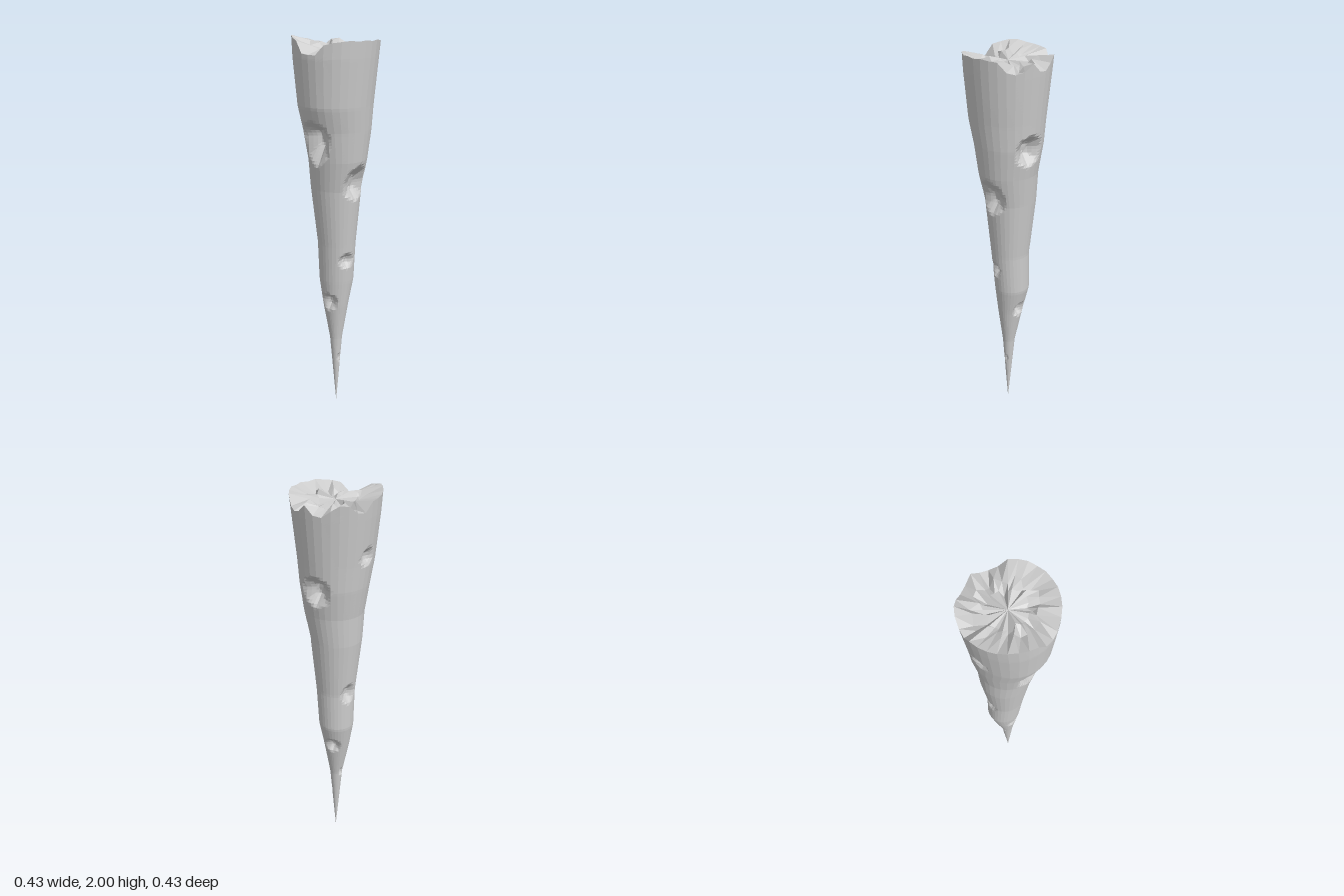
import * as THREE from 'three';

const SIDES = 32, SUB = 2, COLS = SIDES * SUB, ROWS = 130;

// Outline of the spike: [y, minX, maxX, minZ, maxZ]
const OUTLINE = [
  [0, 0, 0, 0, 0],
  [0.4, -0.037, 0.03, -0.035, 0.03],
  [0.6, -0.08, 0.06, -0.072, 0.055],
  [0.74, -0.105, 0.08, -0.106, 0.07],
  [0.95, -0.107, 0.096, -0.107, 0.085],
  [1.25, -0.14, 0.123, -0.137, 0.118],
  [1.4, -0.146, 0.155, -0.153, 0.14],
  [1.55, -0.168, 0.172, -0.178, 0.166],
  [1.67, -0.182, 0.184, -0.188, 0.2],
  [1.9, -0.207, 0.207, -0.208, 0.216],
  [2, -0.216, 0.216, -0.216, 0.216],
];

// Chips in the skin: angle from +x towards +z (degrees), y, half width, reach up, reach down, depth
const CHIPS = [
  [97, 1.53, 0.095, 0.08, 0.16, 0.075],
  [90, 0.63, 0.06, 0.045, 0.06, 0.035],
  [0, 1.29, 0.095, 0.1, 0.1, 0.05],
  [18, 0.87, 0.055, 0.04, 0.05, 0.03],
  [0, 0.28, 0.02, 0.025, 0.03, 0.012],
  [275, 1.55, 0.085, 0.08, 0.09, 0.06],
  [189, 1.71, 0.05, 0.05, 0.05, 0.03],
  [200, 0.96, 0.05, 0.06, 0.07, 0.03],
  [262, 0.62, 0.05, 0.05, 0.05, 0.035],
  [188, 0.41, 0.02, 0.03, 0.03, 0.014],
];

// Height of the broken rim at each side, from +x towards +z
const RIM = [
  1.98, 1.985, 1.98, 1.985, 1.98, 1.975, 1.965, 1.92, 1.92, 1.925, 1.98,
  1.99, 2, 2, 1.99, 1.985, 1.98, 1.975, 1.93, 1.935, 1.97, 1.975, 1.95,
  1.92, 1.925, 1.965, 1.93, 1.92, 1.93, 1.975, 1.98, 1.985,
];

const lerp = THREE.MathUtils.lerp;

function outlineAt(y) {
  let k = 1;
  while (k < OUTLINE.length - 1 && OUTLINE[k][0] < y) k++;
  const a = OUTLINE[k - 1], b = OUTLINE[k];
  const t = (y - a[0]) / (b[0] - a[0]);
  return a.map((v, i) => lerp(v, b[i], t));
}

// How far the chips cut in at a point of the skin
function chipDepth(angle, y, radius) {
  let cut = 0;
  for (const [deg, cy, half, up, down, depth] of CHIPS) {
    let d = angle - THREE.MathUtils.degToRad(deg);
    d = Math.atan2(Math.sin(d), Math.cos(d));
    const u = Math.abs(d * radius) / half;
    const v = y > cy ? (y - cy) / up : (cy - y) / down;
    const inside = 1 - Math.max(v + u * 0.45, u + v * 0.35);
    cut = Math.max(cut, depth * Math.min(1, Math.max(0, inside) * 1.5));
  }
  return Math.min(cut, radius * 0.6);
}

function skinPoint(col, y) {
  const angle = (col / COLS) * Math.PI * 2;
  const [, x0, x1, z0, z1] = outlineAt(y);
  // points between two sides lie on the flat facet
  const off = ((col % SUB) / SUB) * (2 * Math.PI / SIDES);
  const half = Math.PI / SIDES;
  const flat = Math.cos(half) / Math.cos(off - (col % SUB ? half : 0));
  const scale = col % SUB ? flat : 1;
  const rx = (x1 - x0) / 2, rz = (z1 - z0) / 2;
  const radius = (rx + rz) / 2;
  const k = scale * (1 - (radius > 0 ? chipDepth(angle, y, radius) / radius : 0));
  return [(x0 + x1) / 2 + Math.cos(angle) * rx * k, y, (z0 + z1) / 2 + Math.sin(angle) * rz * k];
}

function rimHeight(col) {
  const s = col / SUB, i = Math.floor(s);
  return lerp(RIM[i % SIDES], RIM[(i + 1) % SIDES], s - i);
}

// Joins rows of points into a closed surface
function loft(rows) {
  const n = rows[0].length, index = [];
  for (let r = 0; r < rows.length - 1; r++) {
    for (let c = 0; c < n; c++) {
      const a = r * n + c, b = r * n + (c + 1) % n;
      index.push(a, a + n, b, b, a + n, b + n);
    }
  }
  const geometry = new THREE.BufferGeometry();
  geometry.setAttribute('position', new THREE.Float32BufferAttribute(rows.flat(2), 3));
  geometry.setIndex(index);
  geometry.computeVertexNormals();
  return geometry;
}

export function createModel() {
  const group = new THREE.Group();
  group.name = 'stoneSpike';
  const material = new THREE.MeshStandardMaterial({
    color: 0xcccccc, flatShading: true, side: THREE.DoubleSide,
  });
  const columns = Array.from({ length: COLS }, (_, c) => c);

  // Tapering skin; only the last stretch follows the broken rim
  const rows = [];
  for (let r = 0; r <= ROWS; r++) {
    const y = (r / ROWS) * 1.98;
    rows.push(columns.map((c) => {
      const t = Math.max(0, (y - 1.85) / 0.13);
      return skinPoint(c, y < 1.85 ? y : lerp(1.85, rimHeight(c), t));
    }));
  }
  const skin = new THREE.Mesh(loft(rows), material);
  skin.name = 'spikeBody';
  group.add(skin);

  // Rough broken top: rim, two uneven rings and the middle
  let seed = 11;
  const random = () => (seed = (seed * 16807) % 2147483647) / 2147483647;
  const rim = columns.filter((c) => c % SUB === 0).map((c) => skinPoint(c, rimHeight(c)));
  const ring = (reach, spread, low, high) => rim.map(([x, y, z]) => {
    const k = reach + (random() - 0.5) * spread;
    return [x * k, lerp(lerp(low, high, random()), y, reach * 0.6), z * k];
  });
  const top = new THREE.Mesh(loft([
    rim,
    ring(0.62, 0.22, 1.9, 1.98),
    ring(0.42, 0.14, 1.91, 1.97),
    rim.map(() => [0, 1.945, 0]),
  ]), material);
  top.name = 'brokenTop';
  group.add(top);
  return group;
}
